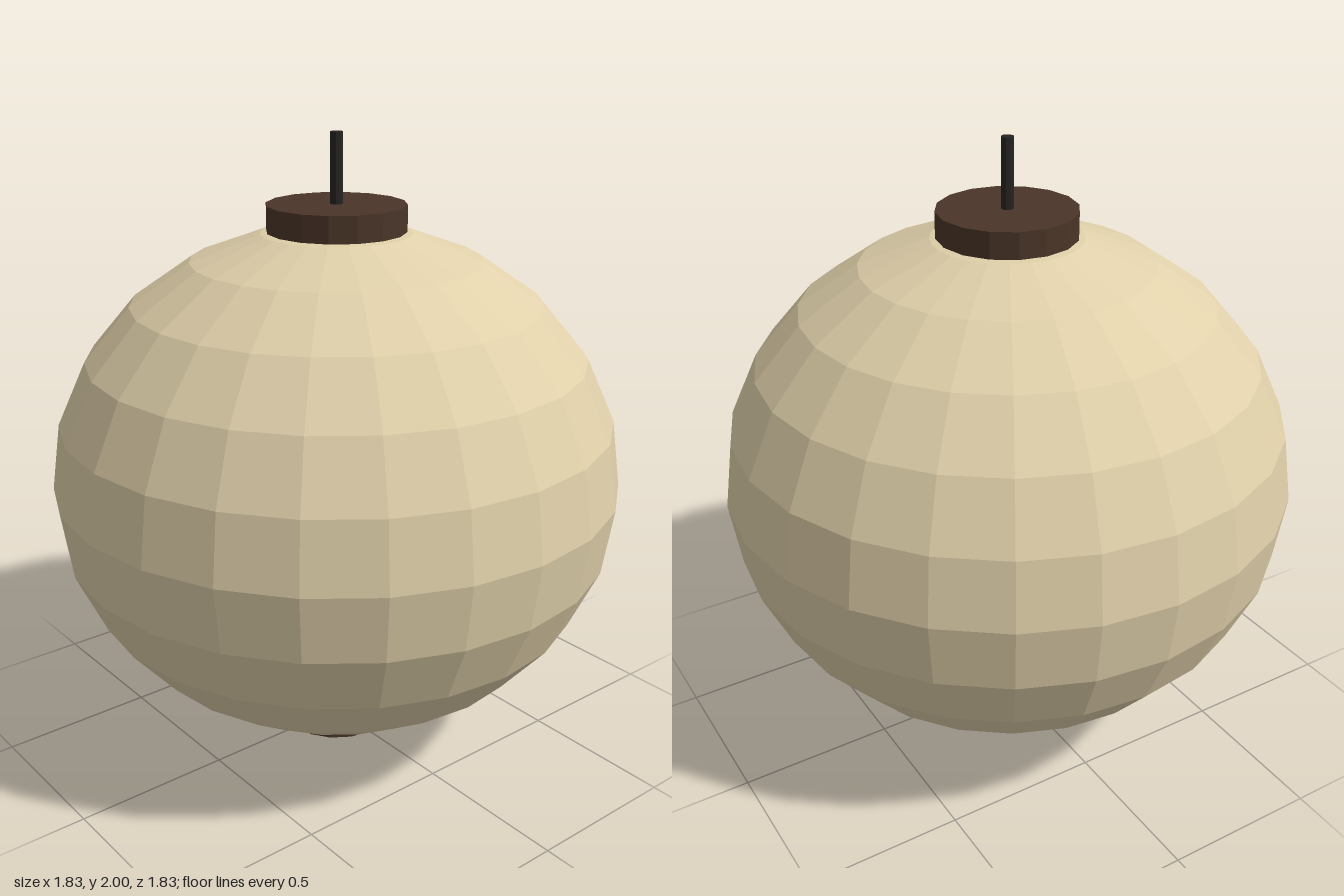
import * as THREE from 'three';

export function createModel() {
  const group = new THREE.Group();
  const material = (color) => new THREE.MeshStandardMaterial({ color, flatShading: true });
  const paper = material(0xe0d0aa);
  const wood = material(0x4a3528);
  const dark = material(0x262422);

  const add = (name, geometry, mat, y) => {
    const mesh = new THREE.Mesh(geometry, mat);
    mesh.name = name;
    mesh.position.y = y;
    group.add(mesh);
    return mesh;
  };

  // Upright disc or rod spanning the heights y0 to y1
  const disc = (name, radius, y0, y1, sides, mat) =>
    add(name, new THREE.CylinderGeometry(radius, radius, y1 - y0, sides), mat, (y0 + y1) / 2);

  // Slightly flattened paper globe
  const shade = new THREE.SphereGeometry(0.914, 24, 12);
  shade.scale(1, 0.9, 1);
  add('paperShade', shade, paper, 0.901);

  // Wooden end caps and hanging cord
  disc('topCap', 0.219, 1.701, 1.784, 16, wood);
  disc('bottomCap', 0.183, 0, 0.073, 16, wood);
  disc('cord', 0.02, 1.76, 2, 8, dark);

  return group;
}
